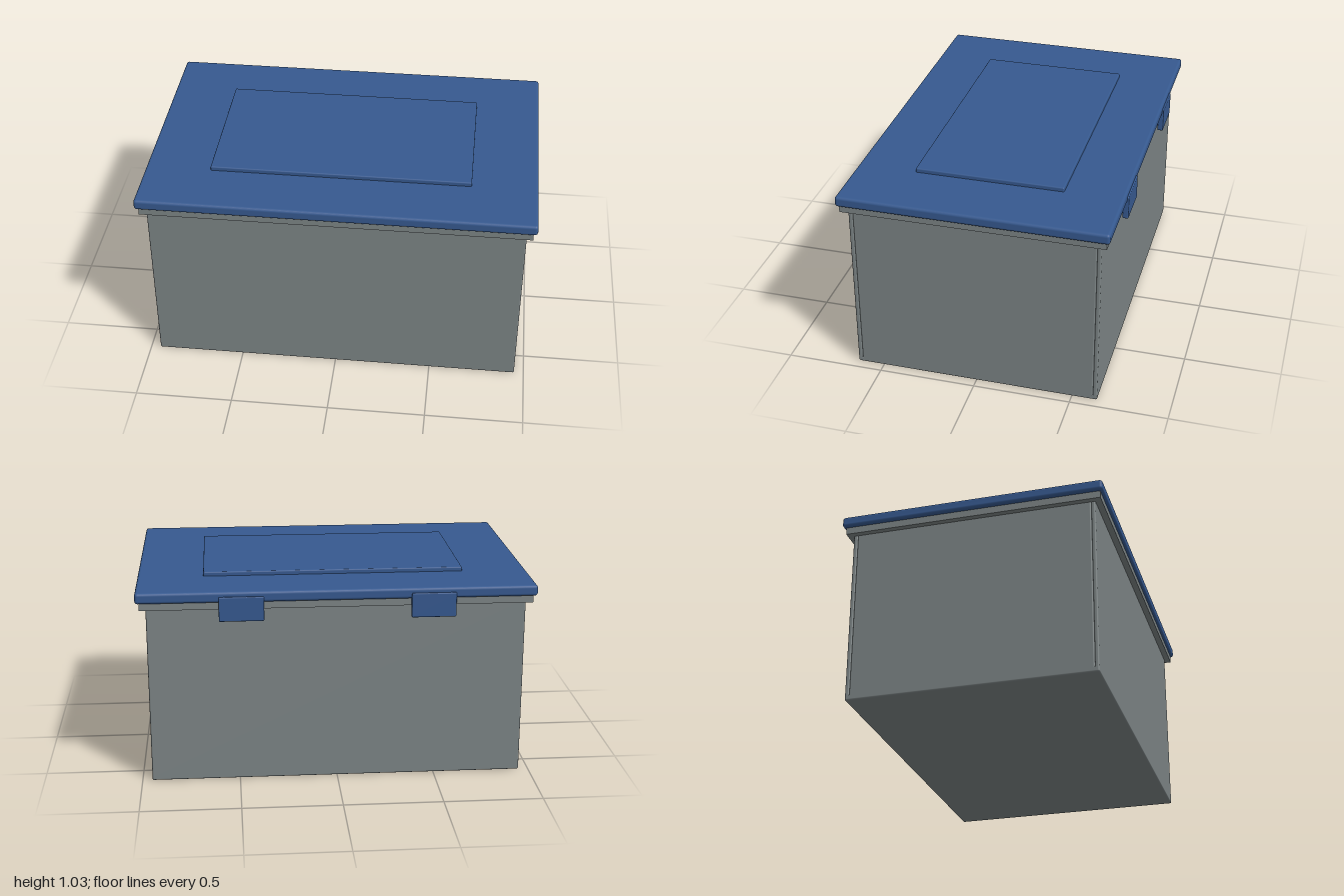
import * as THREE from 'three';
import { RoundedBoxGeometry } from 'three/addons/geometries/RoundedBoxGeometry.js';

export function createModel() {
  const model = new THREE.Group();
  model.name = 'storageBox';
  const grey = new THREE.MeshStandardMaterial({ name: 'grey plastic', color: 0x7c8485 });
  const blue = new THREE.MeshStandardMaterial({ name: 'blue plastic', color: 0x36598f });

  // Box given by its min and max corners; a radius of 0 keeps edges sharp
  const block = (name, material, [x0, y0, z0], [x1, y1, z1], radius = 0) => {
    const size = [x1 - x0, y1 - y0, z1 - z0];
    const geometry = radius
      ? new RoundedBoxGeometry(...size, 3, radius)
      : new THREE.BoxGeometry(...size);
    const mesh = new THREE.Mesh(geometry, material);
    mesh.name = name;
    mesh.position.set((x0 + x1) / 2, (y0 + y1) / 2, (z0 + z1) / 2);
    model.add(mesh);
  };

  // Hollow body: floor and four walls with rounded edges that leave corner grooves
  const back = -0.63, front = 0.638, wall = 0.022, r = 0.008;
  block('floor', grey, [-0.95, 0, back], [0.95, 0.03, front], r);
  block('frontWall', grey, [-0.95, 0.012, front - wall], [0.95, 0.935, front], r);
  block('backWall', grey, [-0.95, 0.012, back], [0.95, 0.935, back + wall], r);
  for (const [side, s] of [['left', 1], ['right', -1]]) {
    const xs = [s * 0.95, s * (0.95 - wall)].sort((a, b) => a - b);
    block(side + 'Wall', grey, [xs[0], 0.012, back + wall], [xs[1], 0.935, front - wall], r);
  }

  // Rim strips around the mouth
  block('frontRim', grey, [-0.98, 0.918, 0.61], [0.98, 0.962, 0.67]);
  block('backRim', grey, [-0.98, 0.918, -0.66], [0.98, 0.962, -0.6]);
  block('leftRim', grey, [0.92, 0.918, -0.6], [0.98, 0.962, 0.61]);
  block('rightRim', grey, [-0.98, 0.918, -0.6], [-0.92, 0.962, 0.61]);

  // Lid with a raised panel
  block('lid', blue, [-1, 0.955, -0.677], [1, 1.01, 0.685], 0.015);
  block('lidPanel', blue, [-0.665, 1.0, -0.378], [0.665, 1.032, 0.382], 0.007);

  // Hinge tabs hanging at the back
  for (const [name, x] of [['leftHinge', 0.478], ['rightHinge', -0.478]]) {
    block(name, blue, [x - 0.112, 0.86, -0.685], [x + 0.112, 0.985, -0.655], 0.006);
  }
  return model;
}
